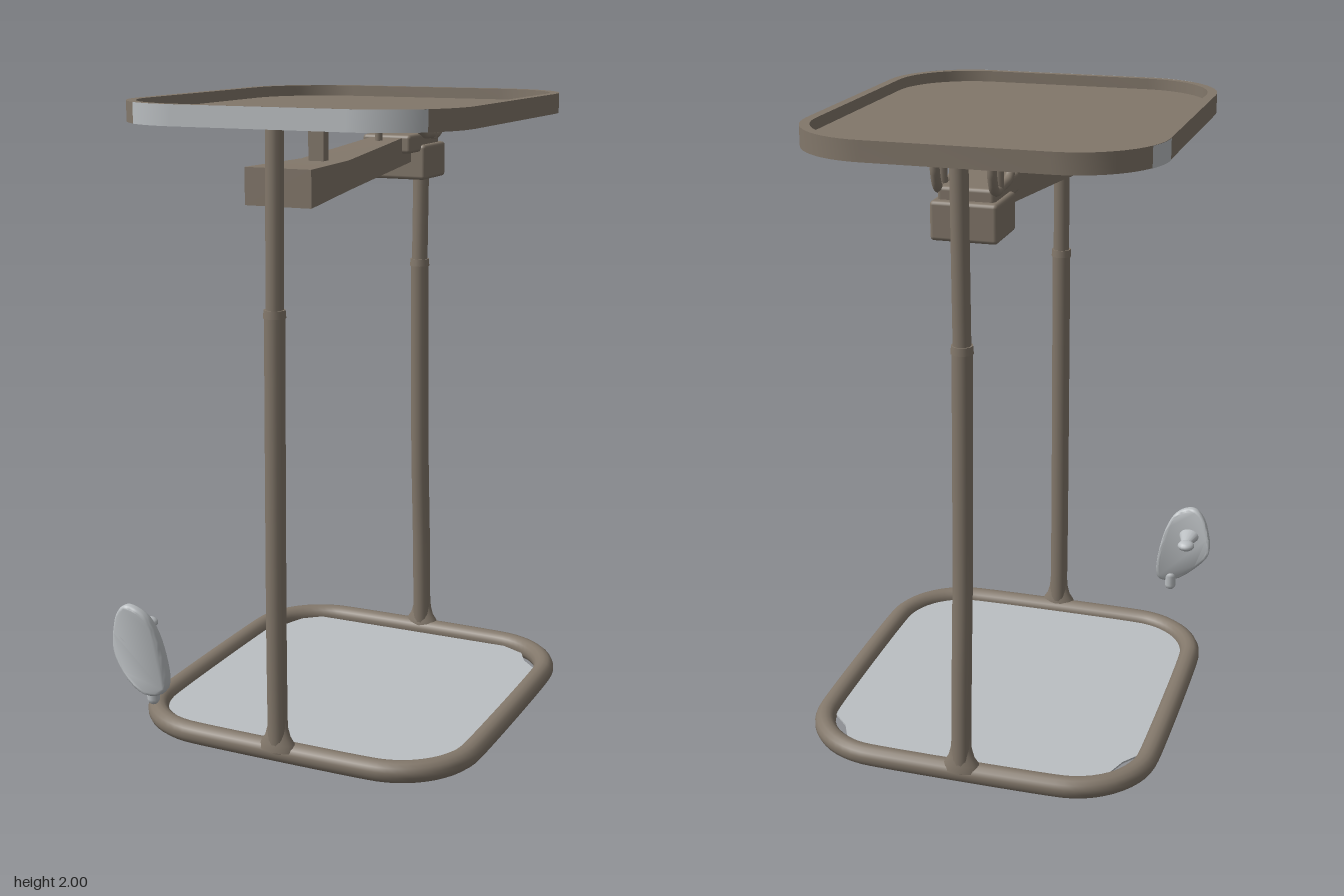
import * as THREE from 'three';
import { toCreasedNormals } from 'three/addons/utils/BufferGeometryUtils.js';
import { RoundedBoxGeometry } from 'three/addons/geometries/RoundedBoxGeometry.js';

const V = (x, y, z) => new THREE.Vector3(x, y, z);

// Rounded rectangle in the x/z plane, as a list of points
function outline(hx, z0, z1, r, n = 14) {
  const pts = [];
  const corners = [[hx - r, z1 - r], [-hx + r, z1 - r], [-hx + r, z0 + r], [hx - r, z0 + r]];
  corners.forEach(([cx, cz], i) => {
    for (let k = 0; k <= n; k++) {
      const a = (i + k / n) * Math.PI / 2;
      pts.push(new THREE.Vector2(cx + r * Math.cos(a), cz + r * Math.sin(a)));
    }
  });
  return pts;
}

// Slab made from an x/z outline, hanging down from height top
function slab(pts, hole, top, depth) {
  const shape = new THREE.Shape(pts);
  if (hole) shape.holes.push(new THREE.Path(hole));
  const g = new THREE.ExtrudeGeometry(shape, { depth, bevelEnabled: false });
  g.rotateX(Math.PI / 2).translate(0, top, 0);
  return toCreasedNormals(g, 0.6);
}

// Upright strip that follows a run of outline points
function strip(pts, y0, y1) {
  const pos = [], idx = [];
  pts.forEach((p, i) => {
    pos.push(p.x, y0, p.y, p.x, y1, p.y);
    if (i) {
      const a = 2 * i - 2;
      idx.push(a, a + 1, a + 2, a + 1, a + 3, a + 2);
    }
  });
  const g = new THREE.BufferGeometry();
  g.setAttribute('position', new THREE.Float32BufferAttribute(pos, 3));
  g.setIndex(idx);
  g.computeVertexNormals();
  return g;
}

function tube(points, r, segs = 24) {
  return new THREE.TubeGeometry(new THREE.CatmullRomCurve3(points), segs, r, 14);
}

export function createModel() {
  const model = new THREE.Group();
  const brown = new THREE.MeshStandardMaterial({ color: 0x82776a });
  brown.name = 'taupe metal';
  const grey = new THREE.MeshStandardMaterial({ color: 0xbbbfc2, side: THREE.DoubleSide });
  grey.name = 'light grey';

  const add = (name, geo, mat = brown, parent = model) => {
    const m = new THREE.Mesh(geo, mat);
    m.name = name;
    parent.add(m);
    return m;
  };

  // Tray: raised rim around a recessed panel
  const trayEdge = outline(0.543, -0.612, 0.635, 0.27);
  add('trayRim', slab(trayEdge, outline(0.513, -0.585, 0.61, 0.245), 2, 0.062));
  add('trayPanel', slab(outline(0.53, -0.6, 0.625, 0.26), null, 1.965, 0.015));

  // Grey faces on the rim
  const skin = outline(0.545, -0.614, 0.637, 0.272, 28);
  const front = skin.filter(p => p.y > 0.3 && p.x > -0.435 && p.x < 0.48);
  const rear = skin.filter(p => p.x < 0 && p.y < 0 && p.y - p.x > 0.04 && p.y - p.x < 0.28);
  add('trayFrontFace', strip(front, 1.938, 2), grey);
  add('trayCornerFace', strip(rear, 1.938, 2), grey);

  // Base ring
  const ringPts = outline(0.541, -0.604, 0.536, 0.24, 8).map(p => V(p.x, 0.034, p.y));
  const ringPath = new THREE.CatmullRomCurve3(ringPts, true, 'centripetal');
  add('baseRing', new THREE.TubeGeometry(ringPath, 140, 0.034, 14, true));

  // Floor sheet, short of the ring along the back, with cut back corners
  const sheet = outline(0.53, -0.8, 0.525, 0.23).filter(p => p.y > 0);
  sheet.push(...[[-0.53, -0.34], [-0.47, -0.42], [-0.44, -0.5], [-0.38, -0.55], [0.34, -0.558],
    [0.42, -0.52], [0.45, -0.46], [0.53, -0.38]].map(p => new THREE.Vector2(...p)));
  add('floorSheet', slab(sheet, null, 0.036, 0.006), grey);

  // Telescopic posts: sleeve, collar, inner rod and flared foot
  const posts = {
    front: { sleeve: [[0.04, 0.55], [0.4, 0.552], [0.9, 0.547], [1.41, 0.54]], top: 0.527 },
    back: { sleeve: [[0.04, -0.612], [0.38, -0.598], [0.7, -0.577], [1.05, -0.565], [1.41, -0.556]], top: -0.565 },
  };
  for (const [side, { sleeve, top }] of Object.entries(posts)) {
    const post = new THREE.Group();
    post.name = side + 'Post';
    model.add(post);
    const z = sleeve[sleeve.length - 1][1];
    add('sleeve', tube(sleeve.map(([y, d]) => V(0, y, d)), 0.031), brown, post);
    add('collar', new THREE.CylinderGeometry(0.032, 0.034, 0.024, 18), brown, post).position.set(0, 1.404, z);
    add('rod', tube([V(0, 1.38, z), V(0, 1.65, (z + top) / 2), V(0, 1.96, top)], 0.027), brown, post);
    const flare = [[0.062, 0.045], [0.056, 0.068], [0.042, 0.09], [0.034, 0.12], [0.031, 0.16]];
    const foot = new THREE.LatheGeometry(flare.map(p => new THREE.Vector2(...p)), 20);
    foot.scale(1, 1, 0.55);
    add('foot', foot, brown, post).position.z = sleeve[0][1];
  }

  // Arm under the tray, wide at the front and rising to the back
  const stations = [[-0.37, 1.77, 1.86, 0.05], [0.2, 1.73, 1.82, 0.08], [0.512, 1.71, 1.82, 0.107]];
  const arm = new THREE.BoxGeometry(2, 1, 2, 1, 1, 2);
  const p = arm.attributes.position;
  for (let i = 0; i < p.count; i++) {
    const [z, y0, y1, w] = stations[Math.round(p.getZ(i)) + 1];
    p.setXYZ(i, p.getX(i) * w, p.getY(i) > 0 ? y1 : y0, z);
  }
  arm.computeVertexNormals();
  add('supportArm', arm);

  // Clamp on the back post
  add('clamp', new RoundedBoxGeometry(0.2, 0.115, 0.185, 2, 0.012)).position.set(0, 1.767, -0.443);
  add('clampCap', new RoundedBoxGeometry(0.17, 0.06, 0.25, 2, 0.012)).position.set(0, 1.832, -0.385);

  // Curved brackets and pins that carry the tray
  for (const s of [-1, 1]) {
    const x = s * 0.083;
    add('bracket', tube([V(x, 1.96, -0.325), V(x, 1.9, -0.335), V(x, 1.862, -0.37),
      V(x, 1.855, -0.43), V(x, 1.855, -0.5), V(x, 1.9, -0.525), V(x, 1.96, -0.53)], 0.014, 30));
    add('bracketPin', tube([V(x, 1.84, -0.46), V(x, 1.9, -0.46), V(x, 1.96, -0.46)], 0.014, 4));
  }
  add('bracketBar', new THREE.BoxGeometry(0.18, 0.018, 0.025)).position.set(0, 1.925, -0.46);
  add('armPin', new THREE.CylinderGeometry(0.012, 0.012, 0.14, 12)).position.set(0, 1.89, -0.2);

  // Latch handle below the tray
  add('latchPost', new THREE.BoxGeometry(0.05, 0.13, 0.035)).position.set(0, 1.87, 0.245);
  add('latchBar', new RoundedBoxGeometry(0.08, 0.016, 0.27, 2, 0.007)).position.set(0, 1.923, 0.12);

  // Loose curved paddle beside the base
  const paddle = new THREE.Group();
  paddle.name = 'paddle';
  model.add(paddle);
  const edge = [[-0.54, 0.35], [-0.52, 0.42], [-0.48, 0.455], [-0.42, 0.425], [-0.383, 0.33],
    [-0.372, 0.2], [-0.44, 0.195], [-0.53, 0.285]].map(q => new THREE.Vector2(...q));
  const rim = new THREE.SplineCurve([...edge, edge[0]]).getPoints(40).slice(0, -1);
  const blade = new THREE.ExtrudeGeometry(new THREE.Shape(rim),
    { depth: 0.014, bevelThickness: 0.01, bevelSize: 0.01, bevelSegments: 3 });
  const b = blade.attributes.position;
  for (let i = 0; i < b.count; i++) {
    b.setZ(i, b.getZ(i) + 0.615 - 3 * (b.getX(i) + 0.46) ** 2);
  }
  blade.computeVertexNormals();
  add('paddleBlade', toCreasedNormals(blade, 0.8), grey, paddle);
  add('paddleTip', new THREE.CapsuleGeometry(0.02, 0.035, 4, 12), grey, paddle).position.set(-0.41, 0.177, 0.603);
  const stem = new THREE.CylinderGeometry(0.014, 0.045, 0.1, 16);
  stem.rotateX(-Math.PI / 2).scale(1, 0.7, 1);
  add('paddleStem', stem, grey, paddle).position.set(-0.475, 0.365, 0.572);
  const knob = new THREE.SphereGeometry(0.03, 16, 10);
  knob.scale(1, 0.6, 1);
  add('paddleKnob', knob, grey, paddle).position.set(-0.48, 0.367, 0.507);

  return model;
}
